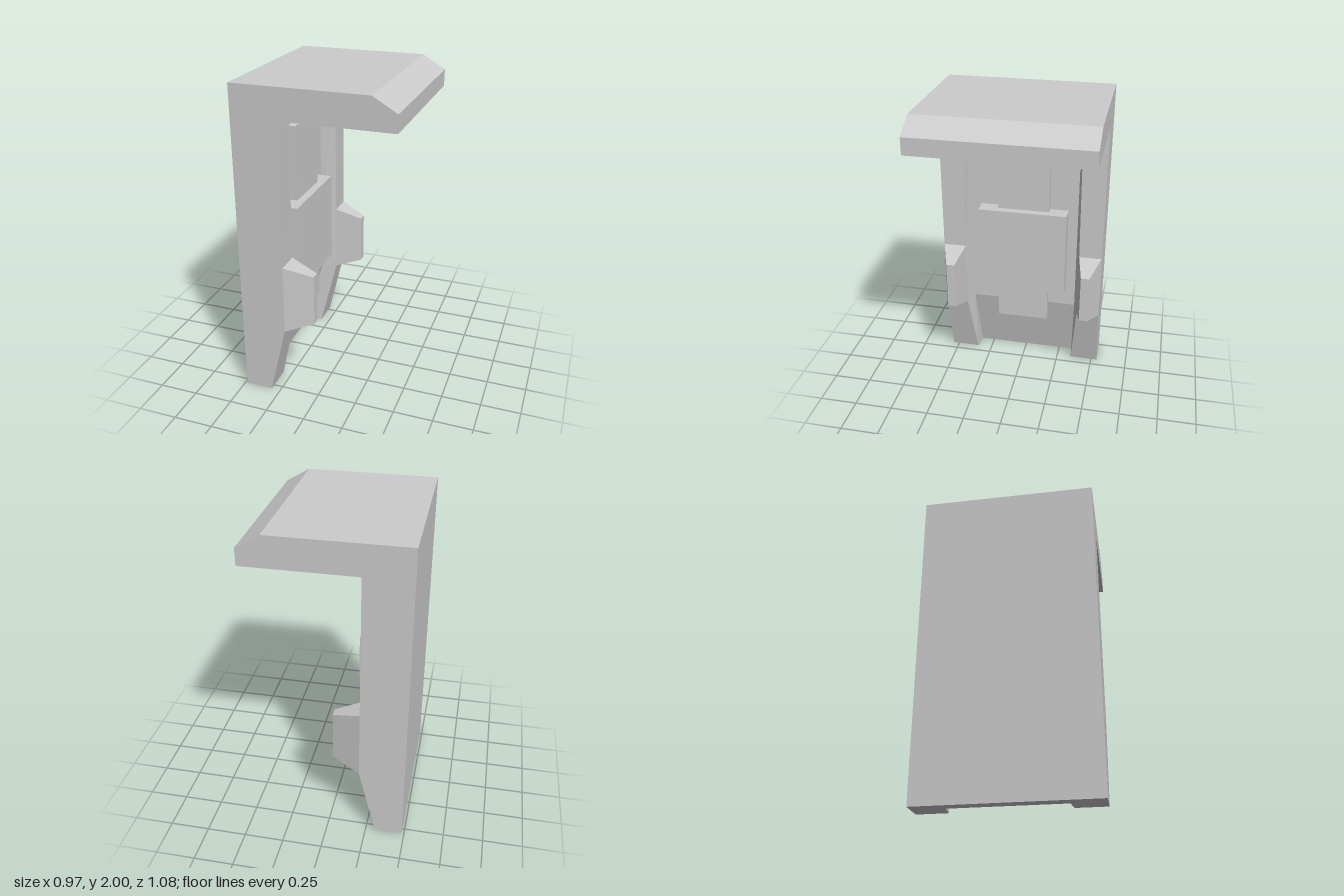
import * as THREE from 'three';

const HALF = 0.54; // half width along z

const material = () => new THREE.MeshStandardMaterial({ color: 0xcccccc, flatShading: true });

function addMesh(group, geometry, name) {
  const mesh = new THREE.Mesh(geometry, material());
  mesh.name = name;
  group.add(mesh);
  return mesh;
}

// One cross-section across the width: outer rim point, rim half width,
// recess floor point, floor half width.
function section([ox, oy, rim, fx = ox, fy = oy, floor = rim]) {
  return [
    [ox, oy, HALF], [ox, oy, rim], [fx, fy, floor],
    [fx, fy, -floor], [ox, oy, -rim], [ox, oy, -HALF],
  ];
}

// Closed loft around the side profile, with a flat cap on each side
function shellGeometry() {
  const sections = [
    [-0.31, 0, 0.35, -0.41, 0, 0.34],          // foot
    [-0.2, 0.46, 0.39, -0.3, 0.46, 0.36],
    [-0.2, 0.9, 0.39, -0.3, 0.9, 0.36],
    [-0.2, 1.81, 0.38, -0.3, 1.81, 0.36],      // inner corner
    [-0.2, 1.81, 0.38, -0.17, 1.865, 0.35],    // canopy recess
    [0.44, 1.81, 0.47, 0.37, 1.865, 0.44],
    [0.44, 1.81, 0.47],
    [0.485, 1.81, 0.47],                       // canopy lip
    [0.485, 1.915, 0.47],
    [0.34, 2, 0.47],
    [-0.485, 2, 0.38],                         // back
    [-0.485, 0, 0.35, -0.485, 0, 0.34],
  ].map(section);

  const positions = [];
  sections.forEach((a, i) => {
    const b = sections[(i + 1) % sections.length];
    for (let j = 0; j < 5; j++) {
      positions.push(...a[j], ...a[j + 1], ...b[j + 1], ...a[j], ...b[j + 1], ...b[j]);
    }
  });

  // Side caps
  const outline = [
    [-0.31, 0], [-0.2, 0.46], [-0.2, 1.81], [0.485, 1.81],
    [0.485, 1.915], [0.34, 2], [-0.485, 2], [-0.485, 0],
  ].map(([x, y]) => new THREE.Vector2(x, y));
  for (const [a, b, c] of THREE.ShapeUtils.triangulateShape(outline, [])) {
    for (const k of [a, b, c]) positions.push(outline[k].x, outline[k].y, HALF);
    for (const k of [c, b, a]) positions.push(outline[k].x, outline[k].y, -HALF);
  }

  const geometry = new THREE.BufferGeometry();
  geometry.setAttribute('position', new THREE.Float32BufferAttribute(positions, 3));
  geometry.computeVertexNormals();
  return geometry;
}

// Box tapered towards +x
function bumperGeometry(side) {
  const box = new THREE.BoxGeometry(1, 1, 1).toNonIndexed();
  const p = box.attributes.position;
  for (let i = 0; i < p.count; i++) {
    const tip = p.getX(i) > 0;
    const y = 0.682 + p.getY(i) * (tip ? 0.325 : 0.445);
    const z = side * (tip ? 0.4525 : 0.465) + p.getZ(i) * (tip ? 0.055 : 0.15);
    p.setXYZ(i, tip ? -0.025 : -0.2, y, z);
  }
  box.computeVertexNormals();
  return box;
}

// Upright slab set on the recess floor
function addPanel(group, name, x0, x1, y0, y1, halfWidth) {
  const geometry = new THREE.BoxGeometry(x1 - x0, y1 - y0, halfWidth * 2);
  addMesh(group, geometry, name).position.set((x0 + x1) / 2, (y0 + y1) / 2, 0);
}

export function createModel() {
  const group = new THREE.Group();
  group.name = 'canopyPanel';

  addMesh(group, shellGeometry(), 'recessedShell');
  addPanel(group, 'longPanel', -0.36, -0.25, 0.35, 1.67, 0.173);
  addPanel(group, 'widePanel', -0.32, -0.2, 0.6, 1.19, 0.295);
  for (const side of [1, -1]) {
    addMesh(group, bumperGeometry(side), side > 0 ? 'leftBumper' : 'rightBumper');
  }
  return group;
}
